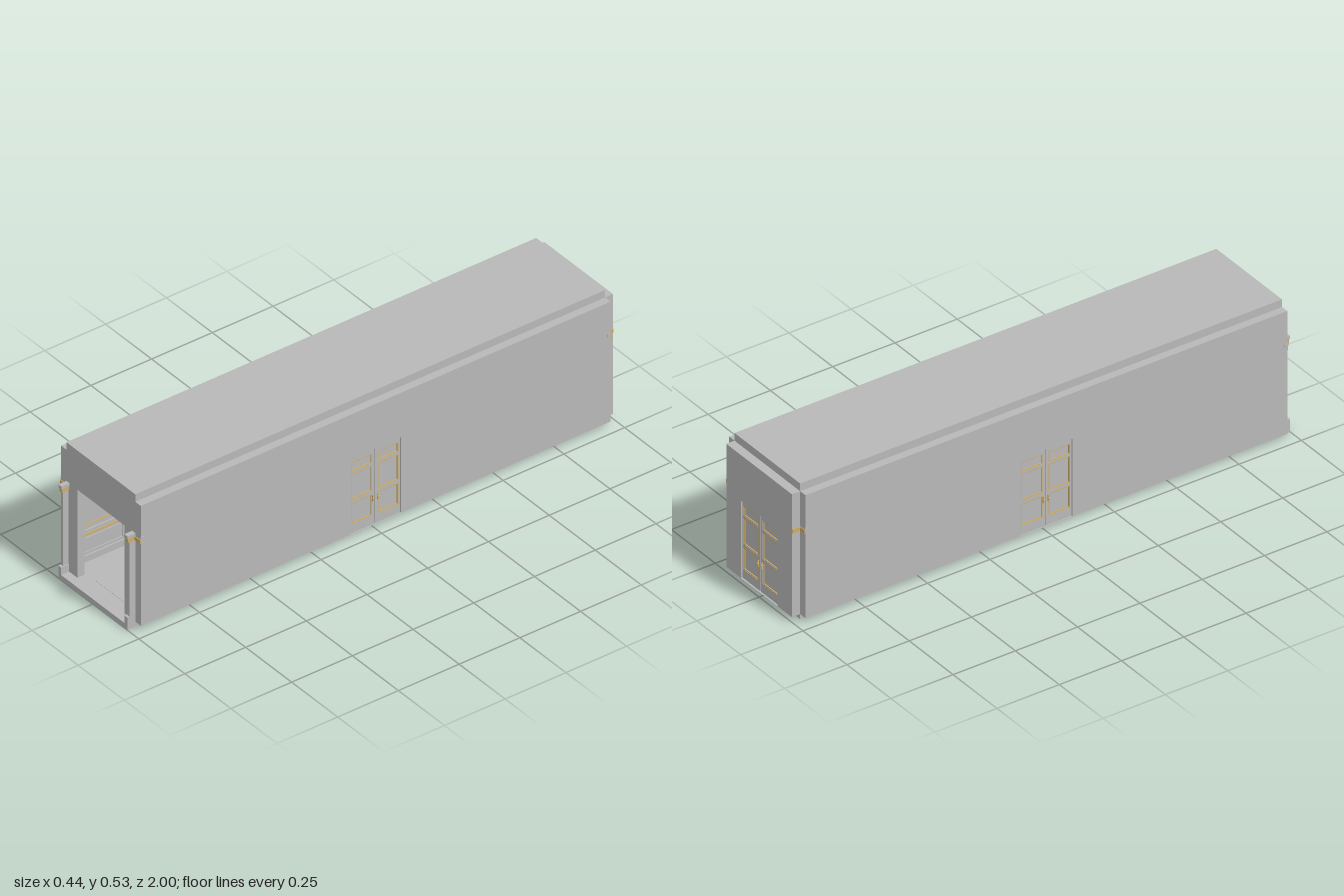
import * as THREE from 'three';

const wallMat = new THREE.MeshStandardMaterial({ color: 0xb8b8b8 });
wallMat.name = 'plaster grey';
const goldMat = new THREE.MeshStandardMaterial({ color: 0xd0ac62 });
goldMat.name = 'gold trim';

// Box given by its limits
function box(parent, name, x0, x1, y0, y1, z0, z1, mat = wallMat) {
  const g = new THREE.BoxGeometry(Math.abs(x1 - x0), y1 - y0, Math.abs(z1 - z0));
  const m = new THREE.Mesh(g, mat);
  m.position.set((x0 + x1) / 2, (y0 + y1) / 2, (z0 + z1) / 2);
  m.name = name;
  parent.add(m);
  return m;
}

function rect(Type, x0, x1, y0, y1) {
  const p = new Type();
  p.moveTo(x0, y0);
  p.lineTo(x1, y0);
  p.lineTo(x1, y1);
  p.lineTo(x0, y1);
  p.closePath();
  return p;
}

// Upright slab with rectangular holes, extruded from z0 to z1
function slab(parent, name, outer, holes, z0, z1, mat = wallMat) {
  const s = rect(THREE.Shape, ...outer);
  holes.forEach(h => s.holes.push(rect(THREE.Path, ...h)));
  const m = new THREE.Mesh(new THREE.ExtrudeGeometry(s, { depth: z1 - z0, bevelEnabled: false }), mat);
  m.position.z = z0;
  m.name = name;
  parent.add(m);
  return m;
}

function ring(parent, name, [x0, x1, y0, y1], w, z0, z1, mat = goldMat) {
  return slab(parent, name, [x0, x1, y0, y1], [[x0 + w, x1 - w, y0 + w, y1 - w]], z0, z1, mat);
}

// Double door in a wall whose inner face is local z = 0 and outer face is z = -0.03
function doubleDoor(name) {
  const g = new THREE.Group();
  g.name = name;
  const rows = [[0.055, 0.14], [0.153, 0.255], [0.265, 0.303]];
  for (const s of [-1, 1]) {
    const span = (a, b) => (s > 0 ? [a, b] : [-b, -a]);
    const panels = rows.map(r => [...span(0.012, 0.097), ...r]);
    slab(g, 'doorLeaf', [...span(0.001, 0.104), 0.02, 0.322], panels, -0.026, -0.012);
    panels.forEach(p => {
      box(g, 'doorPanel', p[0], p[1], p[2], p[3], -0.021, -0.017);
      ring(g, 'panelTrim', p, 0.0035, -0.025, -0.013);
    });
    // handles on both faces
    for (const z of [-0.028, -0.01]) {
      box(g, 'handlePlate', ...span(0.008, 0.012), 0.113, 0.137, z - 0.002, z + 0.002, goldMat);
      const knob = new THREE.Mesh(new THREE.SphereGeometry(0.004, 10, 8), goldMat);
      knob.position.set(s * 0.01, 0.126, z + (z < -0.02 ? -0.002 : 0.003));
      knob.name = 'doorKnob';
      g.add(knob);
    }
    // casing posts
    box(g, 'casingPost', ...span(0.104, 0.128), 0.02, 0.345, 0, 0.006);
    box(g, 'casingTrim', ...span(0.112, 0.116), 0.02, 0.333, 0.006, 0.009, goldMat);
  }
  // lintel and panel above the door
  box(g, 'casingHead', -0.104, 0.104, 0.322, 0.345, 0, 0.006);
  box(g, 'casingHeadTrim', -0.116, 0.116, 0.329, 0.333, 0.006, 0.009, goldMat);
  box(g, 'overdoor', -0.128, 0.128, 0.345, 0.373, 0, 0.008);
  ring(g, 'overdoorTrim', [-0.088, 0.088, 0.346, 0.372], 0.003, 0.008, 0.01);
  return g;
}

const doorHole = [-0.104, 0.104, 0.02, 0.322];

// Side wall along local x; local +z looks into the corridor
function sideWall(s) {
  const g = new THREE.Group();
  g.name = s > 0 ? 'leftWall' : 'rightWall';
  slab(g, 'wallSlab', [-0.967, 0.967, 0.02, 0.5], [doorHole], -0.03, 0);
  g.add(doubleDoor('sideDoor'));
  for (const e of [-1, 1]) {
    const span = (a, b) => (e > 0 ? [a, b] : [-b, -a]);
    box(g, 'skirting', ...span(0.128, 0.935), 0.02, 0.045, 0, 0.006);
    box(g, 'chairRail', ...span(0.128, 0.935), 0.135, 0.147, 0, 0.006);
    box(g, 'chairRailTrim', ...span(0.128, 0.935), 0.125, 0.131, 0, 0.005, goldMat);
    for (let i = 0; i < 4; i++) {
      const a = 0.15 + i * 0.195;
      ring(g, 'wainscotPanel', [...span(a, a + 0.17), 0.055, 0.115], 0.004, 0, 0.004, wallMat);
      ring(g, 'wallPanel', [...span(a, a + 0.17), 0.165, 0.335], 0.003, 0, 0.004);
    }
  }
  box(g, 'cornice', -0.935, 0.935, 0.363, 0.375, 0, 0.012);
  box(g, 'corniceTrim', -0.935, 0.935, 0.348, 0.363, 0, 0.009, goldMat);
  g.position.x = s * 0.187;
  g.rotation.y = -s * Math.PI / 2;
  return g;
}

// Hanging light with two candle rings and a pointed drop
function chandelier(z) {
  const g = new THREE.Group();
  g.name = 'chandelier';
  const profile = [[0, 0.272], [0.006, 0.29], [0.003, 0.303], [0.011, 0.315], [0.004, 0.33],
    [0.008, 0.35], [0.002, 0.37], [0.002, 0.49], [0.015, 0.5]];
  const stem = new THREE.Mesh(
    new THREE.LatheGeometry(profile.map(p => new THREE.Vector2(...p)), 10), wallMat);
  stem.name = 'stem';
  g.add(stem);
  const bead = new THREE.OctahedronGeometry(0.005);
  const candle = new THREE.CylinderGeometry(0.003, 0.003, 0.018, 6);
  for (const [r, y, n] of [[0.056, 0.347, 12], [0.034, 0.337, 8]]) {
    const hoop = new THREE.Mesh(new THREE.TorusGeometry(r, 0.0025, 6, 24), wallMat);
    hoop.rotation.x = Math.PI / 2;
    hoop.position.y = y;
    hoop.name = 'hoop';
    g.add(hoop);
    for (let i = 0; i < n; i++) {
      const a = i / n * Math.PI * 2, c = Math.cos(a), s = Math.sin(a);
      const add = (geo, name, k, h) => {
        const m = new THREE.Mesh(geo, wallMat);
        m.position.set(c * r * k, h, s * r * k);
        m.name = name;
        g.add(m);
      };
      add(candle, 'candle', 1, y + 0.012);
      add(bead, 'crystal', 1, y - 0.011);
      add(bead, 'crystal', 0.6, y - 0.02);
      const arm = new THREE.Mesh(new THREE.TubeGeometry(new THREE.QuadraticBezierCurve3(
        new THREE.Vector3(0, 0.325, 0), new THREE.Vector3(c * r * 0.6, 0.318, s * r * 0.6),
        new THREE.Vector3(c * r, y, s * r)), 6, 0.0015, 4), wallMat);
      arm.name = 'arm';
      g.add(arm);
    }
  }
  g.position.z = z;
  return g;
}

export function createModel() {
  const model = new THREE.Group();
  model.name = 'corridor';

  // Floor and ceiling
  box(model, 'floor', -0.187, 0.187, 0, 0.02, -0.967, 1);
  box(model, 'runner', -0.078, 0.078, 0.02, 0.021, -0.93, 0.93);
  box(model, 'ceiling', -0.187, 0.187, 0.5, 0.53, -0.967, 0.967);

  // Side walls with doors
  model.add(sideWall(1), sideWall(-1));

  // Open front wall
  slab(model, 'frontWall', [-0.187, 0.187, 0.02, 0.5], [[-0.128, 0.128, 0.02, 0.373]], 0.937, 0.967);

  // Back wall with door
  slab(model, 'backWall', [-0.187, 0.187, 0.02, 0.5], [doorHole], -1, -0.967);
  const backDoor = doubleDoor('backDoor');
  backDoor.position.z = -0.968;
  model.add(backDoor);

  for (const s of [-1, 1]) {
    // Front pilasters
    const p = new THREE.Group();
    p.name = 'pilaster';
    box(p, 'pilasterBase', s * 0.172, s * 0.187, 0.02, 0.05, 0.967, 1);
    box(p, 'pilasterShaft', s * 0.176, s * 0.187, 0.05, 0.348, 0.967, 0.99);
    box(p, 'pilasterNeck', s * 0.172, s * 0.187, 0.348, 0.363, 0.967, 0.996, goldMat);
    box(p, 'pilasterCap', s * 0.17, s * 0.187, 0.363, 0.375, 0.967, 1);
    model.add(p);

    // Gold bands round the outer corners
    box(model, 'frontCornerBand', s * 0.187, s * 0.217, 0.348, 0.363, 0.967, 0.97, goldMat);
    box(model, 'backCornerBand', s * 0.187, s * 0.217, 0.348, 0.363, -0.97, -0.967, goldMat);
    box(model, 'backSideBand', s * 0.187, s * 0.19, 0.348, 0.363, -1, -0.97, goldMat);
    for (const z of [-0.962, 0.962]) {
      box(model, 'cornerCap', s * 0.217, s * 0.219, 0.363, 0.375, z - 0.008, z + 0.008);
    }

    // Inner corner posts and back wall rails
    box(model, 'innerPost', s * 0.172, s * 0.187, 0.02, 0.375, -0.967, -0.935);
    box(model, 'backRail', s * 0.128, s * 0.172, 0.135, 0.147, -0.967, -0.961);
    box(model, 'backRailTrim', s * 0.128, s * 0.172, 0.125, 0.131, -0.967, -0.962, goldMat);
  }

  for (const z of [-0.55, 0, 0.55]) model.add(chandelier(z));
  return model;
}
